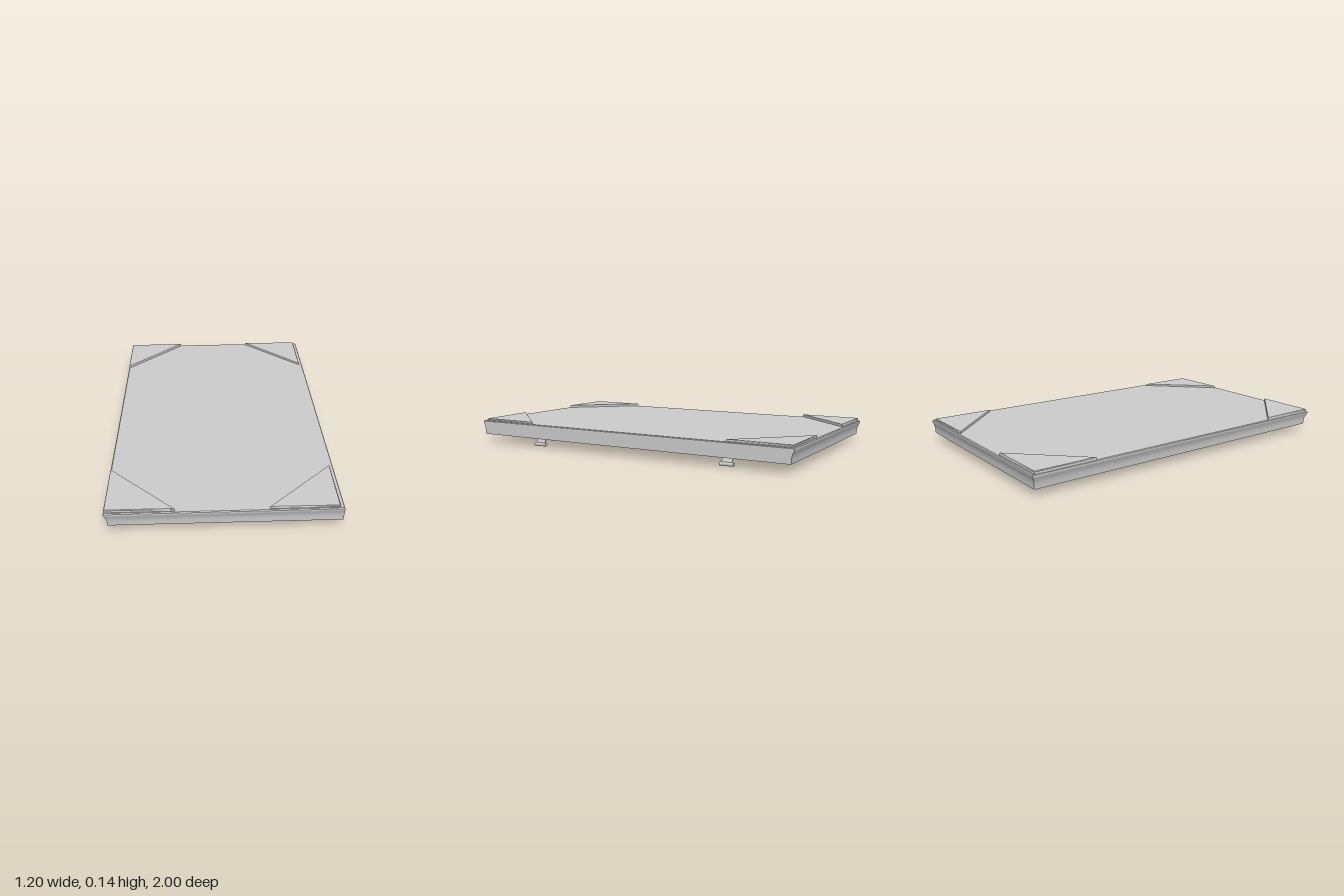
import * as THREE from 'three';
import { toCreasedNormals } from 'three/addons/utils/BufferGeometryUtils.js';

const material = new THREE.MeshStandardMaterial({ color: 0xcccccc });

function addMesh(parent, name, geometry) {
  const mesh = new THREE.Mesh(geometry, material);
  mesh.name = name;
  parent.add(mesh);
  return mesh;
}

// Stacked rectangles joined into one closed skin: [inset, inset on the straight +x side, y]
function ringSkin(levels) {
  const points = [], index = [];
  for (const [inset, insetRight, y] of levels) {
    const l = -0.6 + inset, r = 0.6 - insetRight, d = 1 - inset;
    points.push(l, y, d, r, y, d, r, y, -d, l, y, -d);
  }
  for (let i = 0; i < levels.length - 1; i++) {
    for (let k = 0; k < 4; k++) {
      const a = i * 4 + k, b = i * 4 + (k + 1) % 4;
      index.push(a, a + 4, b, b, a + 4, b + 4);
    }
  }
  const e = (levels.length - 1) * 4;
  index.push(0, 1, 2, 0, 2, 3, e, e + 2, e + 1, e, e + 3, e + 2);
  const geometry = new THREE.BufferGeometry();
  geometry.setAttribute('position', new THREE.Float32BufferAttribute(points, 3));
  geometry.setIndex(index);
  return toCreasedNormals(geometry, 0.6);
}

// Right-angled triangular plate lying flat, its corner at (x, z)
function cornerPlate(x, z, legX, legZ, y0, y1) {
  const shape = new THREE.Shape([
    new THREE.Vector2(x, -z),
    new THREE.Vector2(x + legX, -z),
    new THREE.Vector2(x, -(z + legZ)),
  ]);
  const bevel = 0.003;
  const geometry = new THREE.ExtrudeGeometry(shape, {
    depth: y1 - y0 - bevel, bevelThickness: bevel, bevelSize: bevel,
    bevelOffset: -bevel, bevelSegments: 1,
  });
  geometry.rotateX(-Math.PI / 2);
  geometry.translate(0, y0, 0);
  return geometry;
}

// Round rod between two points
function rod(a, b, radius) {
  return new THREE.TubeGeometry(new THREE.LineCurve3(
    new THREE.Vector3(...a), new THREE.Vector3(...b)), 1, radius, 8);
}

export function createModel() {
  const model = new THREE.Group();
  model.name = 'deskBoard';

  // Board, tipped slightly up towards +x
  const board = new THREE.Group();
  board.name = 'board';
  board.position.y = 0.045;
  board.rotation.z = 0.0083;
  model.add(board);

  // Moulded edge on three sides, straight edge at +x, recessed underside
  addMesh(board, 'boardBody', ringSkin([
    [0.006, 0.004, 0.082],
    [0.001, 0, 0.078],
    [0, 0, 0.073],
    [0.003, 0, 0.064],
    [0.008, 0, 0.053],
    [0.012, 0, 0.042],
    [0.015, 0, 0.026],
    [0.016, 0, 0],
    [0.05, 0.04, 0],
    [0.05, 0.04, 0.028],
  ]));

  for (const s of [1, -1]) {
    // Corner plates
    addMesh(board, 'leftCornerPlate', cornerPlate(-0.597, s * 0.988, 0.352, -s * 0.358, 0.076, 0.097));
    addMesh(model, 'rightCornerPlate', cornerPlate(0.578, s * 0.988, -0.353, -s * 0.358, 0.122, 0.142));

    // Tilting foot: flat leg with a round bar at its end
    const foot = new THREE.Group();
    foot.name = 'foot';
    foot.position.z = s * 0.59;
    if (s < 0) foot.position.z = -0.625;
    model.add(foot);
    const leg = addMesh(foot, 'footLeg', new THREE.BoxGeometry(0.007, 0.075, 0.06));
    leg.position.set(0.542, 0.044, 0);
    leg.rotation.z = 0.4;
    const bar = addMesh(foot, 'footBar', new THREE.CylinderGeometry(0.01, 0.01, 0.08, 16));
    bar.position.set(0.556, 0.01, 0);
    bar.rotation.x = Math.PI / 2;

    // Slim forked brace lying along the recessed panel
    const y = 0.078;
    addMesh(foot, 'braceStem', rod([0.02, y - 0.004, 0], [0.3, y - 0.001, 0], 0.004));
    for (const side of [1, -1]) {
      addMesh(foot, 'braceProng', rod([0.3, y - 0.001, 0], [0.36, y, side * 0.025], 0.004));
      addMesh(foot, 'braceProng', rod([0.36, y, side * 0.025], [0.53, y, side * 0.025], 0.004));
    }
  }
  return model;
}
